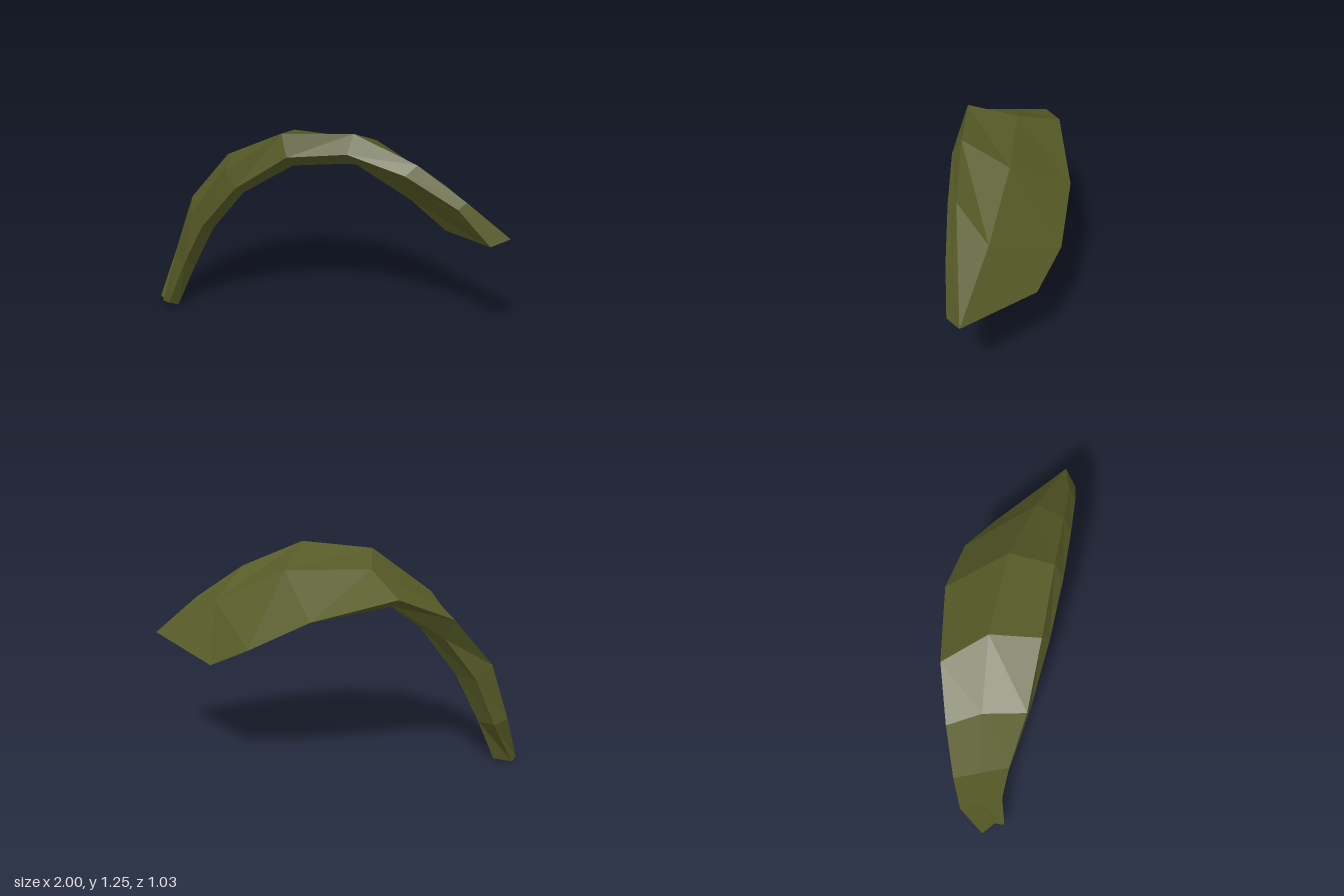
import * as THREE from 'three';

// Cross-sections from foot to tip: outer front edge, outer middle, outer back edge,
// inner back edge, inner middle, inner front edge.
const sections = [
  [[-0.89, 0.065, 0.515], [-0.91, 0.035, 0.46], [-1, 0.03, 0.43], [-0.98, 0, 0.42], [-0.87, 0, 0.41], [-0.87, 0.045, 0.49]],
  [[-0.81, 0.36, 0.45], [-0.9, 0.34, 0.37], [-0.99, 0.31, 0.28], [-0.92, 0.265, 0.26], [-0.8, 0.25, 0.32], [-0.78, 0.32, 0.42]],
  [[-0.7, 0.66, 0.425], [-0.81, 0.65, 0.31], [-0.915, 0.64, 0.2], [-0.83, 0.54, 0.19], [-0.67, 0.52, 0.28], [-0.635, 0.585, 0.405]],
  [[-0.46, 0.97, 0.38], [-0.595, 0.955, 0.18], [-0.745, 0.91, 0.05], [-0.66, 0.77, 0.125], [-0.46, 0.785, 0.235], [-0.4, 0.865, 0.365]],
  [[-0.14, 1.215, 0.255], [-0.26, 1.15, 0], [-0.5, 1.035, -0.15], [-0.41, 0.965, -0.04], [-0.16, 0.995, 0.14], [-0.09, 1.095, 0.275]],
  [[0.23, 1.25, 0.09], [0.19, 1.133, -0.18], [-0.1, 0.92, -0.41], [-0.05, 0.89, -0.32], [0.2, 1.03, -0.07], [0.23, 1.147, 0.15]],
  [[0.55, 1.1, -0.055], [0.6, 0.93, -0.27], [0.23, 0.745, -0.515], [0.28, 0.72, -0.41], [0.56, 0.87, -0.18], [0.52, 1.05, 0.015]],
  [[0.8, 0.91, -0.17], [1, 0.7, -0.315], [0.49, 0.62, -0.5], [0.54, 0.605, -0.385], [0.94, 0.675, -0.205], [0.78, 0.88, -0.115]],
];

function loft(rings) {
  const n = rings[0].length, last = rings.length - 1, index = [];
  const quad = (a, b, c, d) => index.push(a, b, c, a, c, d);
  // Skin between neighbouring sections
  for (let i = 0; i < last; i++) {
    for (let j = 0; j < n; j++) {
      const k = (j + 1) % n;
      quad(i * n + j, (i + 1) * n + j, (i + 1) * n + k, i * n + k);
    }
  }
  // End caps
  const e = last * n;
  quad(0, 1, 4, 5);
  quad(1, 2, 3, 4);
  quad(e + 5, e + 4, e + 1, e);
  quad(e + 4, e + 3, e + 2, e + 1);
  const geometry = new THREE.BufferGeometry();
  geometry.setAttribute('position', new THREE.Float32BufferAttribute(rings.flat(2), 3));
  geometry.setIndex(index);
  const flat = geometry.toNonIndexed();
  flat.computeVertexNormals();
  return flat;
}

export function createModel() {
  const group = new THREE.Group();
  group.name = 'archedLeaf';
  const olive = new THREE.MeshStandardMaterial({ color: 0x565a26, flatShading: true });
  olive.name = 'olive green';
  // Thick leaf that arches from a narrow foot to a broad pointed tip
  const blade = new THREE.Mesh(loft(sections), olive);
  blade.name = 'leafBlade';
  group.add(blade);
  return group;
}
